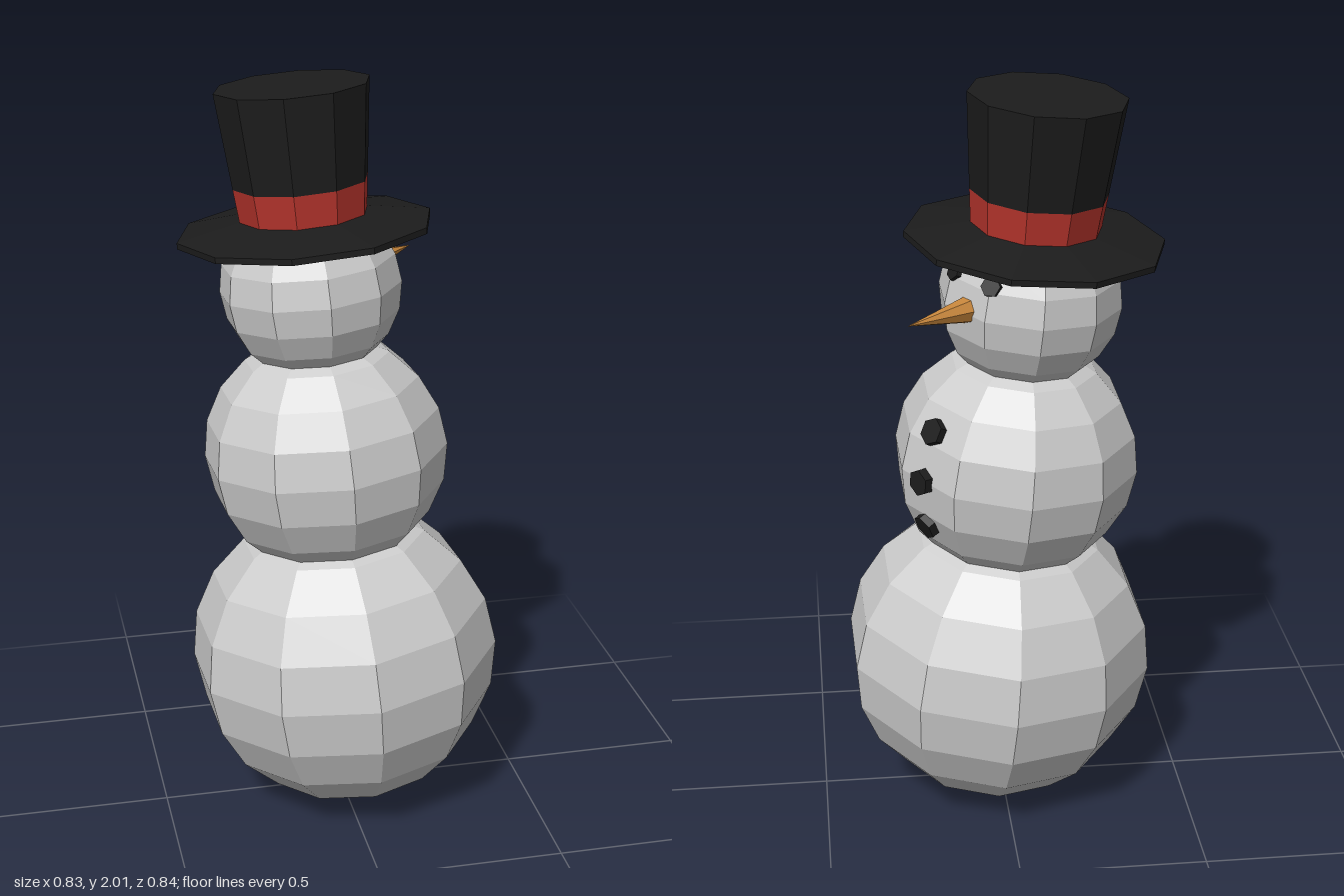
import * as THREE from 'three';

const material = (color) => new THREE.MeshStandardMaterial({ color, flatShading: true });
const deg = THREE.MathUtils.degToRad;

export function createModel() {
  const snow = material(0xcccccc);
  const black = material(0x1c1c1c);
  const red = material(0xb5342c);
  const orange = material(0xc8873c);

  // Built upright with the face on local +z, then turned and leaned as a whole
  const snowman = new THREE.Group();
  snowman.name = 'snowman';

  function add(name, geometry, mat, x = 0, y = 0, z = 0) {
    const mesh = new THREE.Mesh(geometry, mat);
    mesh.name = name;
    mesh.position.set(x, y, z);
    snowman.add(mesh);
    return mesh;
  }

  // Three stacked snowballs
  const balls = {
    bottomBall: { y: 0.42, r: 0.4225 },
    middleBall: { y: 1.01, r: 0.328 },
    head: { y: 1.465, r: 0.24 },
  };
  for (const [name, { y, r }] of Object.entries(balls)) {
    add(name, new THREE.SphereGeometry(r, 10, 10), snow, 0, y, 0);
  }

  // Six-sided coal disc lying on a ball, at a yaw and pitch from its front
  function coal(name, ball, yaw, pitch, radius, distance) {
    const dir = new THREE.Vector3(
      Math.sin(yaw) * Math.cos(pitch), Math.sin(pitch), Math.cos(yaw) * Math.cos(pitch));
    const disc = add(name, new THREE.CylinderGeometry(radius, radius, 0.03, 6), black,
      dir.x * distance, ball.y + dir.y * distance, dir.z * distance);
    disc.quaternion.setFromUnitVectors(new THREE.Vector3(0, 1, 0), dir);
  }
  coal('leftEye', balls.head, deg(18), deg(22), 0.027, 0.228);
  coal('rightEye', balls.head, deg(-17), deg(22), 0.027, 0.228);
  for (const pitch of [25, 0, -25]) {
    coal('button', balls.middleBall, deg(-3), deg(pitch), 0.036, 0.316);
  }

  // Carrot nose
  const nose = add('nose', new THREE.ConeGeometry(0.04, 0.23, 7), orange, 0, balls.head.y + 0.006, 0.302);
  nose.rotation.x = Math.PI / 2;

  // Top hat: drooping brim, ribbon and flared crown
  const brim = [[0, 0], [0.336, 0], [0.336, 0.016], [0.16, 0.048], [0, 0.048]]
    .map(([r, y]) => new THREE.Vector2(r, y));
  add('hatBrim', new THREE.LatheGeometry(brim, 10), black, 0, 1.612, 0);
  add('hatRibbon', new THREE.CylinderGeometry(0.178, 0.168, 0.096, 10), red, 0, 1.697, 0);
  add('hatCrown', new THREE.CylinderGeometry(0.203, 0.178, 0.248, 10), black, 0, 1.869, 0);

  // Turn, then lean
  const lean = new THREE.Vector3(-0.0755, 1, -0.05).normalize();
  snowman.quaternion
    .setFromUnitVectors(new THREE.Vector3(0, 1, 0), lean)
    .multiply(new THREE.Quaternion().setFromAxisAngle(new THREE.Vector3(0, 1, 0), deg(127.4)));
  snowman.position.set(0.041, 0, 0.02);

  const model = new THREE.Group();
  model.add(snowman);
  return model;
}
